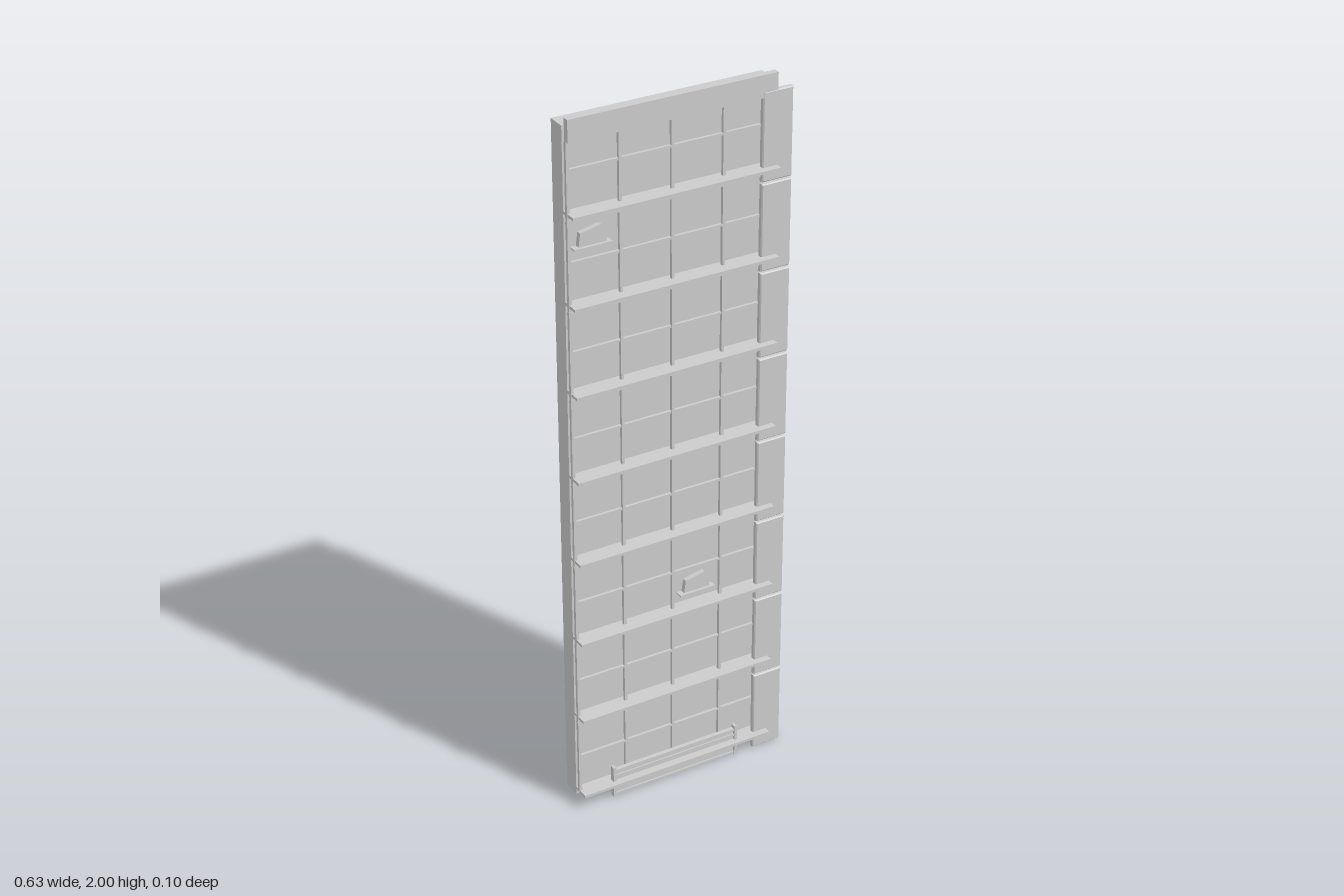
import * as THREE from 'three';

const grey = new THREE.MeshStandardMaterial({ color: 0xcccccc, flatShading: true });

export function createModel() {
  const model = new THREE.Group();
  model.name = 'facadePanel';

  const add = (geometry, name, parent = model) => {
    const mesh = new THREE.Mesh(geometry, grey);
    mesh.name = name;
    parent.add(mesh);
    return mesh;
  };
  // Box given by its limits on each axis
  const box = (name, x0, x1, y0, y1, z0, z1, parent) => {
    const mesh = add(new THREE.BoxGeometry(x1 - x0, y1 - y0, z1 - z0), name, parent);
    mesh.position.set((x0 + x1) / 2, (y0 + y1) / 2, (z0 + z1) / 2);
    return mesh;
  };

  const left = -0.315, right = 0.268, floors = 8, pitch = 0.243;

  // Building slab behind the facade
  box('backSlab', left, right, 0.03, 1.975, -0.052, 0);

  // Header beam across the top
  box('header', left, right - 0.003, 1.94, 2, 0.013, 0.03);

  // Vertical window bars
  for (const x of [-0.312, -0.17, -0.025, 0.12]) {
    box('mullion', x - 0.004, x + 0.004, 0.05, 1.94, 0.012, 0.021);
  }

  // Each floor: projecting ledge, transom below it, thin bar at mid-window
  for (let i = 0; i < floors; i++) {
    const y = 0.051 + i * pitch;
    box('ledge', left, right - 0.003, y - 0.004, y + 0.004, 0, 0.05);
    if (i > 0) box('transom', left - 0.002, 0.225, y - 0.024, y - 0.016, 0.012, 0.022);
    box('windowBar', left, 0.225, y + 0.111, y + 0.117, 0.012, 0.02);
  }

  // Column of plates along one edge, with slightly bevelled faces
  const bevel = 0.003;
  for (let i = 0; i < floors; i++) {
    const w = 0.086, h = 0.239;
    const plate = new THREE.Shape([
      new THREE.Vector2(bevel, bevel), new THREE.Vector2(w - bevel, bevel),
      new THREE.Vector2(w - bevel, h - bevel), new THREE.Vector2(bevel, h - bevel),
    ]);
    const mesh = add(new THREE.ExtrudeGeometry(plate, {
      depth: 0.01, bevelEnabled: true, bevelSize: bevel, bevelThickness: bevel, bevelSegments: 1,
    }), 'edgePlate');
    mesh.position.set(0.223, 0.005 + i * 0.2445, 0.018);
  }

  // Low board at the foot, with end posts and rails
  const board = new THREE.Group();
  board.name = 'footBoard';
  model.add(board);
  box('boardPanel', -0.215, 0.165, 0.012, 0.085, 0.02, 0.028, board);
  for (const y of [0.012, 0.05, 0.07, 0.087]) {
    box('boardRail', -0.215, 0.165, y - 0.003, y + 0.003, 0.02, 0.032, board);
  }
  for (const x of [-0.215, 0.165]) {
    box('boardPost', x - 0.004, x + 0.004, 0.005, 0.1, 0.02, 0.035, board);
  }

  // Small slanted window units on sills
  const unitShape = new THREE.Shape([
    new THREE.Vector2(-0.035, 0), new THREE.Vector2(0.044, 0),
    new THREE.Vector2(0.028, 0.049), new THREE.Vector2(-0.03, 0.037),
  ]);
  for (const [x, y] of [[-0.248, 1.656], [0.047, 0.573]]) {
    const unit = new THREE.Group();
    unit.name = 'windowUnit';
    unit.position.set(x, y, 0);
    model.add(unit);
    add(new THREE.ExtrudeGeometry(unitShape, { depth: 0.014, bevelEnabled: false }), 'unitBody', unit);
    box('unitSill', -0.05, 0.055, -0.003, 0.001, 0, 0.022, unit);
  }

  return model;
}
